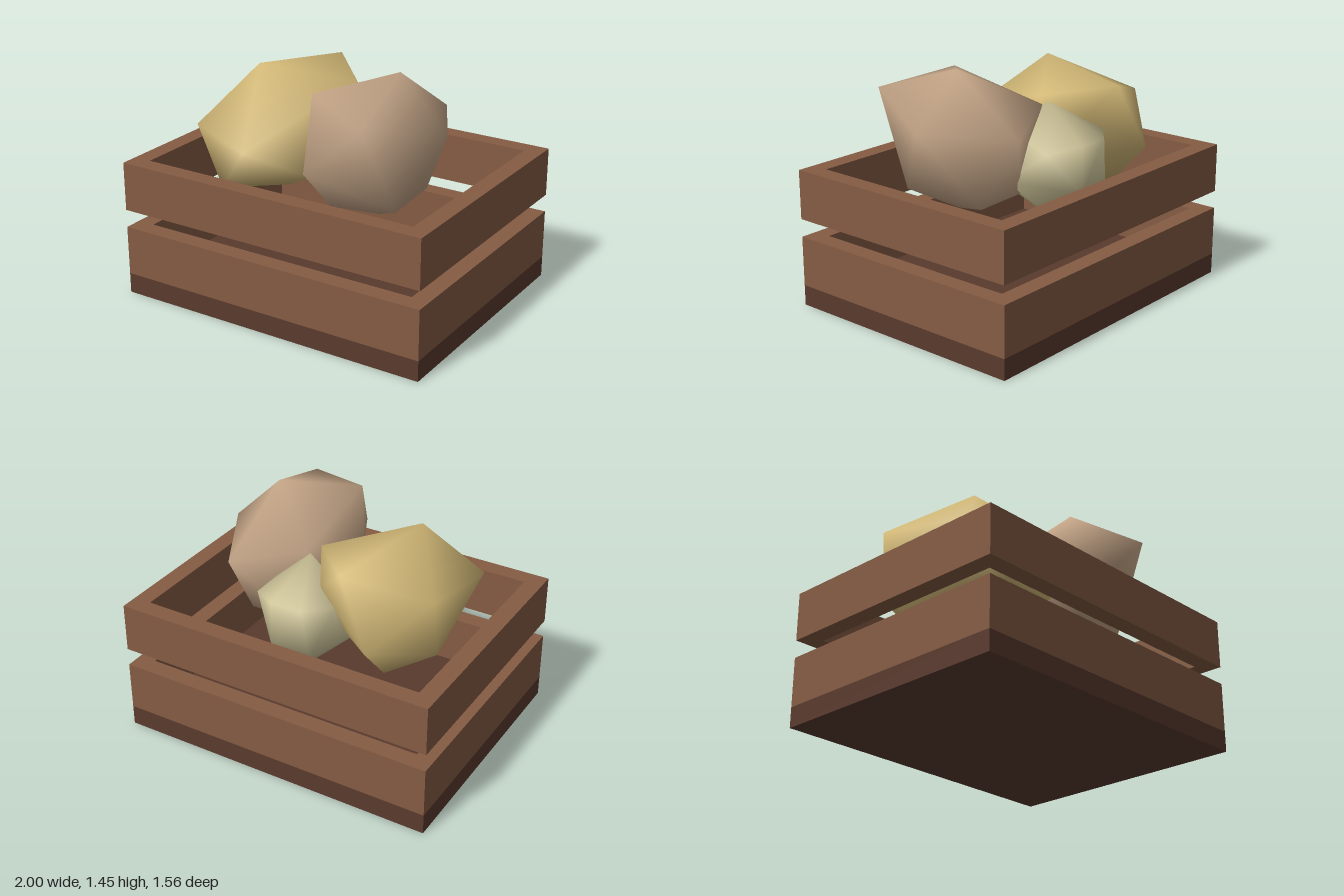
import * as THREE from 'three';
import { mergeVertices } from 'three/addons/utils/BufferGeometryUtils.js';
import { ConvexGeometry } from 'three/addons/geometries/ConvexGeometry.js';

const material = (name, color) => {
  const m = new THREE.MeshStandardMaterial({ color });
  m.name = name;
  return m;
};

const HX = 1, HZ = 0.78, WALL = 0.11;

const rectangle = (target, x, z) => {
  target.moveTo(-x, -z);
  target.lineTo(x, -z);
  target.lineTo(x, z);
  target.lineTo(-x, z);
  target.closePath();
  return target;
};

// Rectangular ring of planks lying flat between two heights
function frameGeometry(y0, y1) {
  const shape = rectangle(new THREE.Shape(), HX, HZ);
  shape.holes.push(rectangle(new THREE.Path(), HX - WALL, HZ - WALL));
  const g = new THREE.ExtrudeGeometry(shape, { depth: y1 - y0, bevelEnabled: false });
  return g.rotateX(-Math.PI / 2).translate(0, y0, 0);
}

// Lumpy low-poly potato: hull of a few corners, shaded smoothly
function potatoGeometry(corners) {
  const hull = new ConvexGeometry(corners.map((c) => new THREE.Vector3(...c)));
  hull.deleteAttribute('normal');
  const g = mergeVertices(hull, 1e-4);
  g.computeVertexNormals();
  return g;
}

export function createModel() {
  const group = new THREE.Group();
  group.name = 'potatoCrate';
  const add = (name, geometry, mat) => {
    const mesh = new THREE.Mesh(geometry, mat);
    mesh.name = name;
    group.add(mesh);
  };

  const wood = material('wood', 0x855c43);
  const darkWood = material('darkWood', 0x5a3a2d);
  const yellow = material('yellowSkin', 0xd3b977);
  const tan = material('tanSkin', 0xc4a587);
  const pale = material('paleSkin', 0xd2c89c);

  // Crate
  add('crateFloor', new THREE.BoxGeometry(2 * HX, 0.125, 2 * HZ).translate(0, 0.0625, 0), darkWood);
  add('lowerFrame', frameGeometry(0.125, 0.43), wood);
  add('upperFrame', frameGeometry(0.54, 0.84), wood);

  // Potatoes
  add('yellowPotato', potatoGeometry([
    [-0.47, 1.37, 0.13], [-0.31, 1.3, -0.52], [0, 1.25, -0.2],
    [-0.78, 1.16, -0.31], [-0.14, 1.15, -0.44], [-0.755, 1.01, 0.38],
    [-0.27, 0.98, 0.59], [-0.51, 0.9, -0.59], [0, 0.8, 0.3],
    [0, 0.8, -0.15], [-0.78, 0.8, -0.25], [-0.55, 0.66, 0.42],
    [-0.35, 0.58, 0], [-0.5, 0.64, -0.35],
  ]), yellow);

  add('tanPotato', potatoGeometry([
    [0.44, 1.445, 0.05], [0.08, 1.35, 0.4], [0.52, 1.27, 0.6],
    [0.06, 1.22, -0.26], [0.76, 1.13, 0.07], [0.48, 1.12, -0.44],
    [-0.04, 1.08, 0.22], [0.19, 0.98, 0.66], [0.58, 0.72, 0.32],
    [0.5, 0.68, -0.18], [0.15, 0.66, 0.32], [0.18, 0.7, -0.2],
    [0.36, 0.59, 0.12],
  ]), tan);

  add('palePotato', potatoGeometry([
    [0.02, 1.23, -0.28], [-0.1, 1.04, -0.585], [0.1, 1.04, -0.585],
    [-0.25, 1.05, -0.46], [0.27, 1.0, -0.46], [0.1, 0.76, -0.585],
    [-0.14, 0.74, -0.57], [0.3, 0.8, -0.2], [-0.3, 0.8, -0.22],
    [0.18, 1.1, -0.08], [-0.1, 0.8, 0], [0.18, 0.76, 0],
    [0, 0.525, -0.28],
  ]), pale);

  return group;
}
